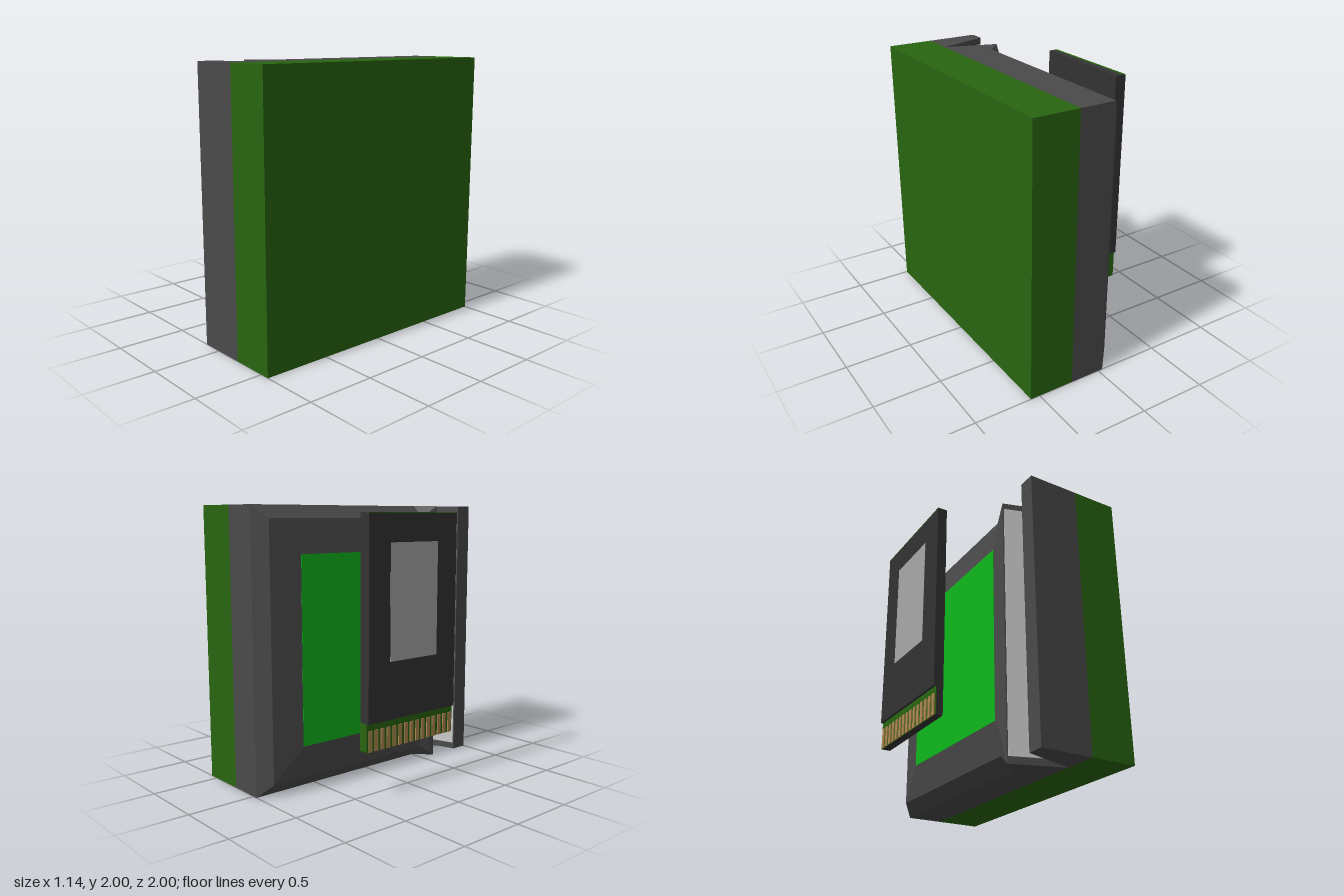
import * as THREE from 'three';

const COLORS = { green: 0x286510, grey: 0x4a4a4a, dark: 0x333333, light: 0xc0c0c0, screen: 0x0eb81c, label: 0xa8a8a8, gold: 0xb08850 };

function addMesh(group, name, geometry, color) {
  const material = new THREE.MeshStandardMaterial({ color: COLORS[color], flatShading: true });
  const mesh = new THREE.Mesh(geometry, material);
  mesh.name = name;
  group.add(mesh);
  return mesh;
}

// Box given by its low and high corners
function addBox(group, name, [x0, y0, z0], [x1, y1, z1], color) {
  const mesh = addMesh(group, name, new THREE.BoxGeometry(x1 - x0, y1 - y0, z1 - z0), color);
  mesh.position.set((x0 + x1) / 2, (y0 + y1) / 2, (z0 + z1) / 2);
  return mesh;
}

// Upright prism over a floor outline of [x, z] points
function prism(outline, y0, y1) {
  const shape = new THREE.Shape(outline.map(([x, z]) => new THREE.Vector2(x, -z)));
  const geometry = new THREE.ExtrudeGeometry(shape, { depth: y1 - y0, bevelEnabled: false });
  return geometry.rotateX(-Math.PI / 2).translate(0, y0, 0);
}

// Flat polygons, each split into a triangle fan
function polygons(list) {
  const positions = [];
  for (const p of list)
    for (let i = 1; i < p.length - 1; i++) positions.push(...p[0], ...p[i], ...p[i + 1]);
  const geometry = new THREE.BufferGeometry();
  geometry.setAttribute('position', new THREE.Float32BufferAttribute(positions, 3));
  geometry.computeVertexNormals();
  return geometry;
}

// Stepped bevel rising to the screen, closed by a wedge beside the notch
function bezelGeometry() {
  const ring = (x, z0, margin) => [[x, margin, z0], [x, margin, 0.5], [x, 2 - margin, 0.5], [x, 2 - margin, z0]];
  const rings = [ring(-0.035, -1, 0), ring(-0.12, -0.91, 0.09), ring(-0.155, -0.68, 0.33)];
  const faces = [rings[2]];
  for (let r = 0; r < 2; r++)
    for (const i of [0, 2, 3]) {
      const j = (i + 1) % 4;
      faces.push([rings[r][i], rings[r][j], rings[r + 1][j], rings[r + 1][i]]);
    }
  const low = [-0.155, 0, 0.625], high = [-0.155, 2, 0.625];
  for (let r = 0; r < 2; r++) {
    faces.push([rings[r][1], low, rings[r + 1][1]]);
    faces.push([rings[r + 1][2], high, rings[r][2]]);
  }
  faces.push([rings[2][1], low, high, rings[2][2]]);
  return polygons(faces);
}

function createBody() {
  const body = new THREE.Group();
  body.name = 'body';
  addBox(body, 'greenCase', [0.23, 0, -1], [0.57, 2, 1], 'green');
  addMesh(body, 'screenHousing',
    prism([[0.23, -1], [-0.035, -1], [-0.035, 0.5], [-0.155, 0.625], [0.23, 0.75]], 0, 2), 'grey');
  addMesh(body, 'screenBezel', bezelGeometry(), 'grey');
  addBox(body, 'screen', [-0.157, 0.33, -0.68], [-0.15, 1.67, 0.49], 'screen');
  addMesh(body, 'frontRim', prism([[0.23, 0.75], [-0.155, 0.875], [-0.155, 1], [0.23, 1]], 0, 2), 'grey');

  // Pale linings on both walls of the notch
  for (const side of [-1, 1]) {
    const panel = addMesh(body, 'notchLining', new THREE.BoxGeometry(0.35, 1.9, 0.008), 'light');
    panel.position.set(0.02, 1, 0.75 + side * 0.068);
    panel.rotation.y = side * Math.atan2(0.125, 0.385);
  }
  return body;
}

function createCard() {
  const card = new THREE.Group();
  card.name = 'card';
  const z0 = -0.44, z1 = 0.4;
  addMesh(card, 'cardShell', prism([[-0.55, z0], [-0.487, z0], [-0.5, z1], [-0.55, z1]], 0.33, 1.95), 'dark');
  addBox(card, 'cardFace', [-0.572, 0.53, z0], [-0.55, 1.945, z1], 'dark');
  addBox(card, 'cardTopEdge', [-0.572, 1.945, z0], [-0.55, 1.95, z1], 'green');
  addBox(card, 'cardLabel', [-0.574, 0.94, -0.245], [-0.57, 1.75, 0.207], 'label');
  // Exposed circuit board with its row of contacts
  addBox(card, 'circuitBoard', [-0.555, 0.33, z0], [-0.549, 0.53, z1], 'green');
  addBox(card, 'circuitBoardEnd', [-0.555, 0.33, z0 - 0.003], [-0.487, 0.53, z0], 'green');
  const count = 15, pitch = (z1 - z0) / count;
  for (let i = 0; i < count; i++) {
    const z = z0 + (i + 0.5) * pitch;
    addBox(card, 'contact', [-0.562, 0.33, z - 0.28 * pitch], [-0.554, 0.48, z + 0.28 * pitch], 'gold');
  }
  return card;
}

export function createModel() {
  const model = new THREE.Group();
  model.name = 'handheldAndCard';
  model.add(createBody(), createCard());
  return model;
}
